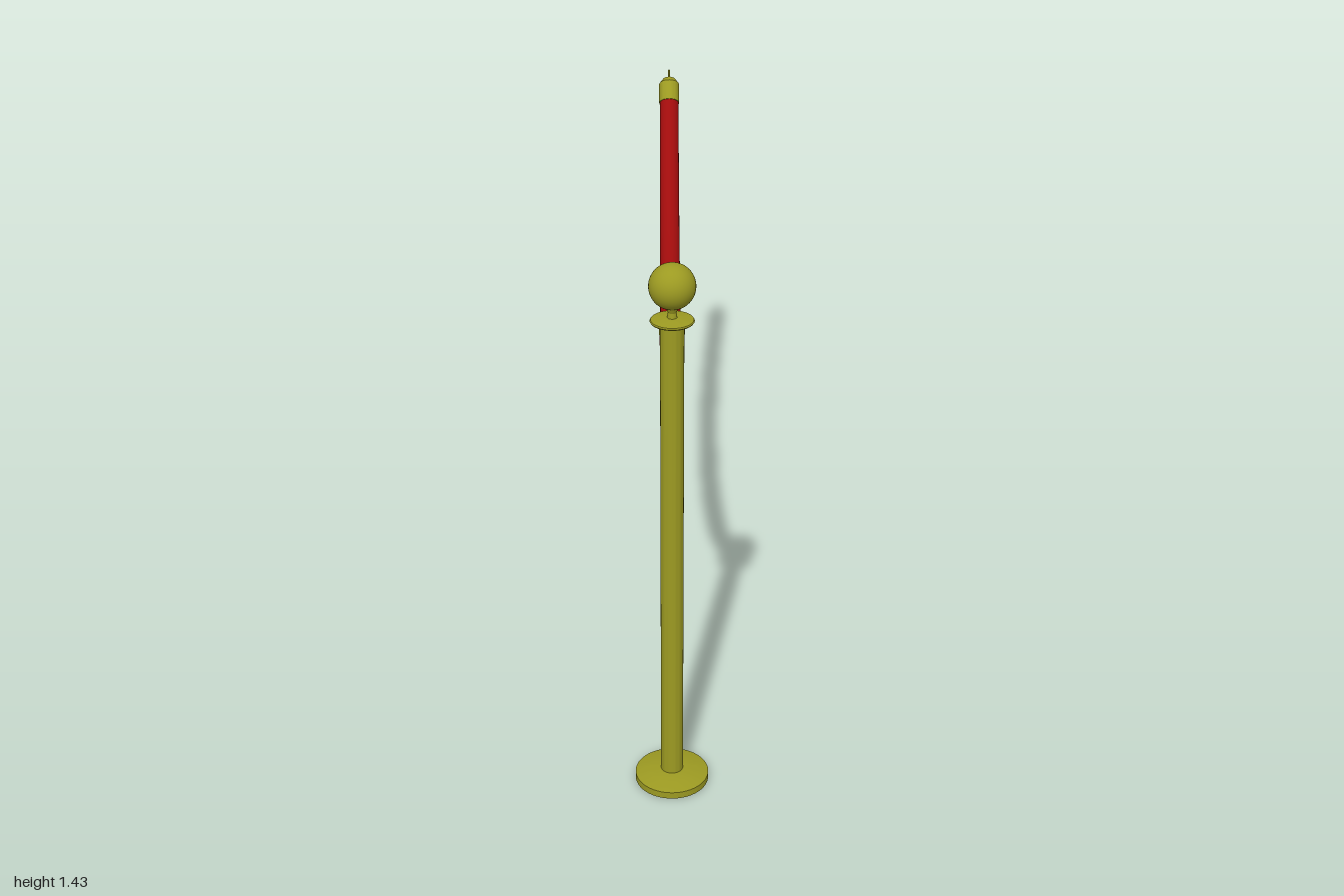
import * as THREE from 'three';
import { toCreasedNormals } from 'three/addons/utils/BufferGeometryUtils.js';

const brass = new THREE.MeshStandardMaterial({ color: 0x9c9a22 });
const velvet = new THREE.MeshStandardMaterial({ color: 0xa00c0c });

const POST_Z = 0.907;
const ROPE_Z = -0.065; // lowest point of the rope
const ROPE_Y = 0.86;
const ROPE_ARC = 1.22; // radius of the hanging curve
const ROPE_ANGLE = 0.775; // half sweep of the hanging curve

function part(name, geometry, material = brass) {
  const mesh = new THREE.Mesh(geometry, material);
  mesh.name = name;
  return mesh;
}

// Turned part with sharp edges, from [radius, height] pairs listed bottom to top
function turned(profile, segments = 48) {
  const points = profile.map(([r, y]) => new THREE.Vector2(r, y));
  return toCreasedNormals(new THREE.LatheGeometry(points, segments), 0.35);
}

function createPost() {
  const post = new THREE.Group();
  post.name = 'post';
  post.position.z = POST_Z;

  post.add(part('base', turned([[0, 0], [0.093, 0], [0.093, 0.018], [0.06, 0.026], [0.028, 0.03], [0, 0.03]])));
  post.add(part('pole', turned([[0, 0.025], [0.028, 0.025], [0.028, 1.286], [0, 1.286]])));
  post.add(part('collar', turned([[0, 1.283], [0.05, 1.286], [0.052, 1.289], [0.05, 1.292], [0.022, 1.297], [0, 1.298]])));
  post.add(part('neck', turned([[0.012, 1.295], [0.01, 1.31], [0.018, 1.33]], 32)));

  const ball = part('ball', new THREE.SphereGeometry(0.055, 40, 28));
  ball.position.y = 1.375;
  post.add(ball);
  return post;
}

// Point on the hanging curve at an angle measured from its lowest point
function ropePoint(angle) {
  return new THREE.Vector3(
    0,
    ROPE_Y + ROPE_ARC * (1 - Math.cos(angle)),
    ROPE_Z + ROPE_ARC * Math.sin(angle)
  );
}

function createRope() {
  const points = [];
  for (let i = 0; i <= 24; i++) points.push(ropePoint(ROPE_ANGLE * (i / 12 - 1)));
  return part('rope', new THREE.TubeGeometry(new THREE.CatmullRomCurve3(points), 96, 0.029, 24), velvet);
}

// Brass cap and ring in line with the rope's end; side is +1 at the post
function createRopeEnd(side) {
  const end = new THREE.Group();
  end.name = side > 0 ? 'frontRopeEnd' : 'backRopeEnd';
  end.position.copy(ropePoint(side * ROPE_ANGLE));
  end.rotation.x = side * (Math.PI / 2 - ROPE_ANGLE);

  end.add(part('cap', turned([[0, -0.01], [0.031, -0.01], [0.031, 0.055], [0.019, 0.072], [0, 0.072]], 32)));

  const ring = part('ring', new THREE.TorusGeometry(0.016, 0.003, 12, 32));
  ring.rotation.y = Math.PI / 2;
  ring.position.y = 0.086;
  end.add(ring);
  return end;
}

export function createModel() {
  const model = new THREE.Group();
  model.name = 'ropeBarrier';
  model.add(createPost(), createRope(), createRopeEnd(1), createRopeEnd(-1));
  return model;
}
